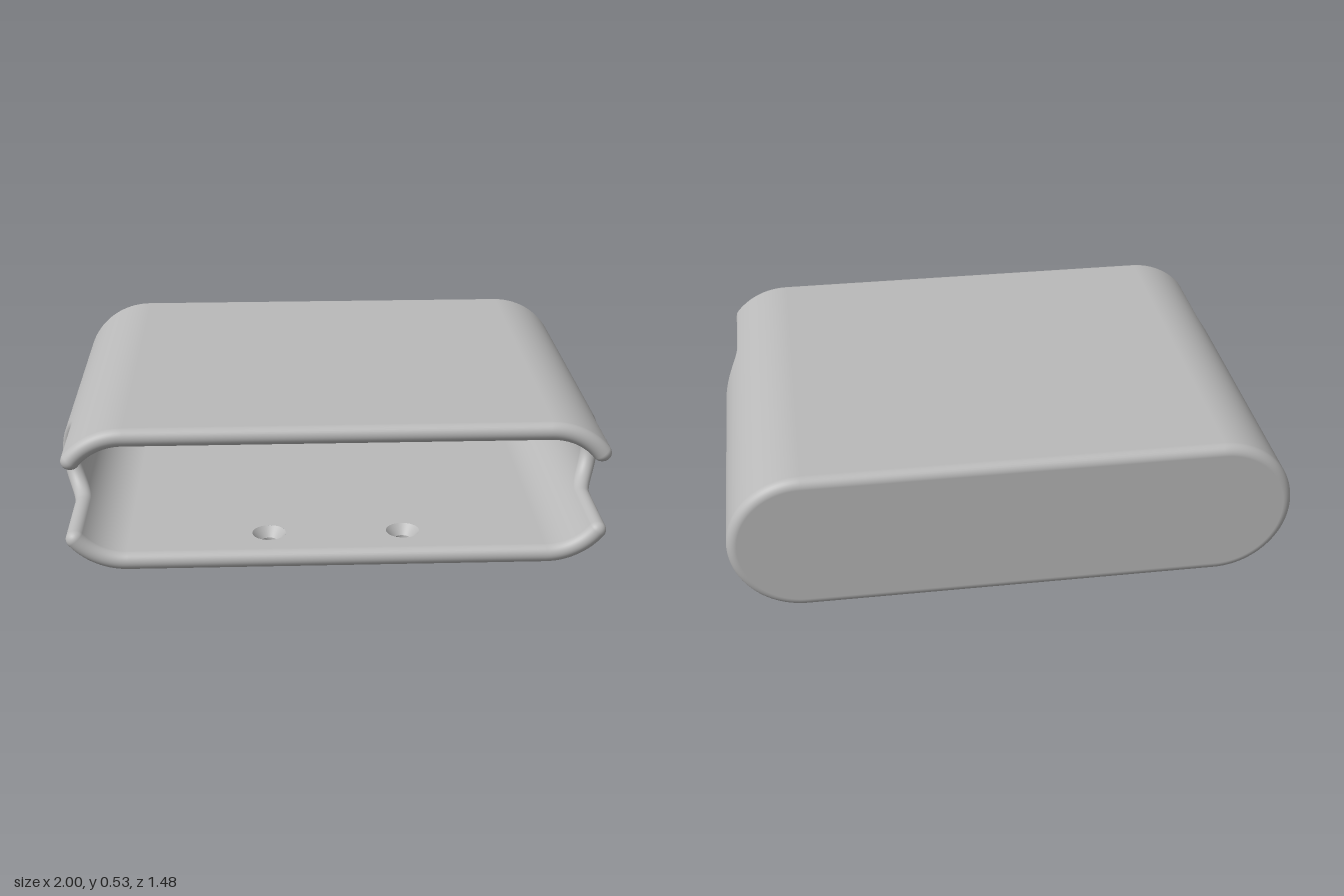
import * as THREE from 'three';

const HALF = 0.735;            // half width of the flat top and bottom
const T = 0.0325;              // half the wall thickness
const OUT = 0.265;             // outer end radius
const R = OUT - T;             // mid-wall end radius
const Z = 0.74;                // half depth
const FLOOR = -0.675;          // inner face of the closed back
const F_OUT = 0.035, F_IN = 0.03; // back fillets
const SLOT_R = 0.122, SLOT_Z = 0.42;
const QUARTER = R * Math.PI / 2, TOTAL = 2 * QUARTER + 2 * HALF;

// Position and directions on the upper half of the wall at arc length s
function frame(s) {
  let a = Math.PI / 2, x = HALF - (s - QUARTER);
  if (s < QUARTER) { a = s / R; x = HALF; }
  else if (s > QUARTER + 2 * HALF) { a = Math.PI / 2 + (s - QUARTER - 2 * HALF) / R; x = -HALF; }
  return { x, c: Math.cos(a), n: Math.sin(a) };
}

// Edge path along slot, prong corner and front lip: inset point (s, z) and outward direction (ns, nz)
function edgeColumns() {
  const cols = [];
  for (let i = 0; i <= 20; i++) {
    const q = i / 20 * Math.PI / 2, a = Math.asin(SLOT_R * Math.sin(q) / R);
    const ds = Math.cos(q) / Math.cos(a), dz = Math.sin(q), l = Math.hypot(ds, dz);
    const ns = -dz / l, nz = ds / l;
    cols.push({ s: R * a - T * ns, z: SLOT_Z - SLOT_R * Math.cos(q) - T * nz, ns, nz });
  }
  const s0 = cols[20].s;
  for (let i = 0; i <= 8; i++) {
    const q = i / 8 * Math.PI / 2;
    cols.push({ s: s0, z: Z - T, ns: -Math.cos(q), nz: Math.sin(q) });
  }
  for (let i = 1; i <= 14; i++) {
    cols.push({ s: s0 + (QUARTER - s0) * i / 14, z: Z - T, ns: 0, nz: 1 });
  }
  const mirrored = cols.map(c => ({ ...c, s: TOTAL - c.s, ns: -c.ns })).reverse();
  return cols.concat(mirrored);
}

// Profile of one column: back fillet, outer wall, rounded rim, inner wall, inner fillet
function profile(c) {
  const pts = [], N = 8, RIM = 16;
  for (let i = 0; i <= N; i++) {
    const b = i / N * Math.PI / 2, sn = Math.sin(b), cs = Math.cos(b);
    pts.push({ s: c.s, z: -Z + F_OUT * (1 - cs), off: T - F_OUT * (1 - sn), n: [0, sn, -cs] });
  }
  for (let i = 0; i <= RIM; i++) {
    const p = Math.PI / 2 - i / RIM * Math.PI, sn = Math.sin(p), cs = Math.cos(p);
    pts.push({ s: c.s + T * cs * c.ns, z: c.z + T * cs * c.nz, off: T * sn, n: [cs * c.ns, sn, cs * c.nz] });
  }
  for (let i = 0; i <= N; i++) {
    const b = i / N * Math.PI / 2, sn = Math.sin(b), cs = Math.cos(b);
    pts.push({ s: c.s, z: FLOOR + F_IN * (1 - sn), off: -T - F_IN * (1 - cs), n: [0, -cs, sn] });
  }
  return { pts, openSegments: [N, N + RIM + 1] };
}

// Upper half of the sleeve; its flat panels are left open for separate plates
function halfShell() {
  const cols = edgeColumns(), pos = [], nor = [], idx = [];
  const flat = cols.length / 2 - 1;
  let rows = 0, open = [];
  for (const c of cols) {
    const { pts, openSegments } = profile(c);
    rows = pts.length;
    open = openSegments;
    for (const p of pts) {
      const f = frame(p.s), r = R + p.off, [ns, nn, nz] = p.n;
      pos.push(f.x + f.c * r, f.n * r, p.z);
      nor.push(f.c * nn - f.n * ns, f.n * nn + f.c * ns, nz);
    }
  }
  for (let i = 0; i < cols.length - 1; i++) {
    for (let j = 0; j < rows - 1; j++) {
      if (i === flat && open.includes(j)) continue;
      const a = i * rows + j, b = a + rows;
      idx.push(a, b, b + 1, a, b + 1, a + 1);
    }
  }
  const g = new THREE.BufferGeometry();
  g.setAttribute('position', new THREE.Float32BufferAttribute(pos, 3));
  g.setAttribute('normal', new THREE.Float32BufferAttribute(nor, 3));
  g.setIndex(idx);
  return g;
}

// Flat stadium facing +z
function stadium(r) {
  const s = new THREE.Shape();
  s.absarc(HALF, 0, r, -Math.PI / 2, Math.PI / 2, false);
  s.absarc(-HALF, 0, r, Math.PI / 2, Math.PI * 1.5, false);
  return new THREE.ShapeGeometry(s, 48);
}

const HOLES = [-0.24, 0.24], HOLE_Z = 0.577;

// Flat panel facing up (dir 1) or down (dir -1), with optional screw holes
function panel(y, dir, zBack, holeR) {
  const s = new THREE.Shape(), a = -dir * zBack, b = -dir * (Z - T);
  s.moveTo(-HALF, a).lineTo(HALF, a).lineTo(HALF, b).lineTo(-HALF, b).closePath();
  if (holeR) for (const x of HOLES) {
    const h = new THREE.Path();
    h.absarc(x, -dir * HOLE_Z, holeR, 0, Math.PI * 2, true);
    s.holes.push(h);
  }
  return new THREE.ShapeGeometry(s, 32).rotateX(-dir * Math.PI / 2).translate(0, y, 0);
}

export function createModel() {
  const model = new THREE.Group();
  model.name = 'sleeveHolder';
  const body = new THREE.Group();
  body.name = 'body';
  body.position.y = OUT;
  model.add(body);
  const grey = new THREE.MeshStandardMaterial({ color: 0xbababa });
  grey.name = 'grey';
  const add = (name, geo) => {
    const m = new THREE.Mesh(geo, grey);
    m.name = name;
    body.add(m);
    return m;
  };

  // Curved walls, lips and side slots
  const shell = halfShell();
  add('upperShell', shell);
  add('lowerShell', shell).rotation.z = Math.PI;

  // Flat walls
  const inner = OUT - 2 * T;
  add('topOuterPanel', panel(OUT, 1, -Z + F_OUT));
  add('topInnerPanel', panel(inner, -1, FLOOR + F_IN));
  add('bottomOuterPanel', panel(-OUT, -1, -Z + F_OUT, 0.03));
  add('bottomInnerPanel', panel(-inner, 1, FLOOR + F_IN, 0.06));

  // Closed back
  add('backOuterFace', stadium(OUT - F_OUT).rotateY(Math.PI)).position.z = -Z;
  add('backInnerFace', stadium(inner - F_IN)).position.z = FLOOR;

  // Countersunk screw holes
  for (const x of HOLES) {
    const cone = new THREE.LatheGeometry([new THREE.Vector2(0.06, 2 * T), new THREE.Vector2(0.03, 0.03)], 32);
    const bore = new THREE.LatheGeometry([new THREE.Vector2(0.03, 0.03), new THREE.Vector2(0.03, 0)], 32);
    add('countersink', cone).position.set(x, -OUT, HOLE_Z);
    add('screwBore', bore).position.set(x, -OUT, HOLE_Z);
  }
  return model;
}
